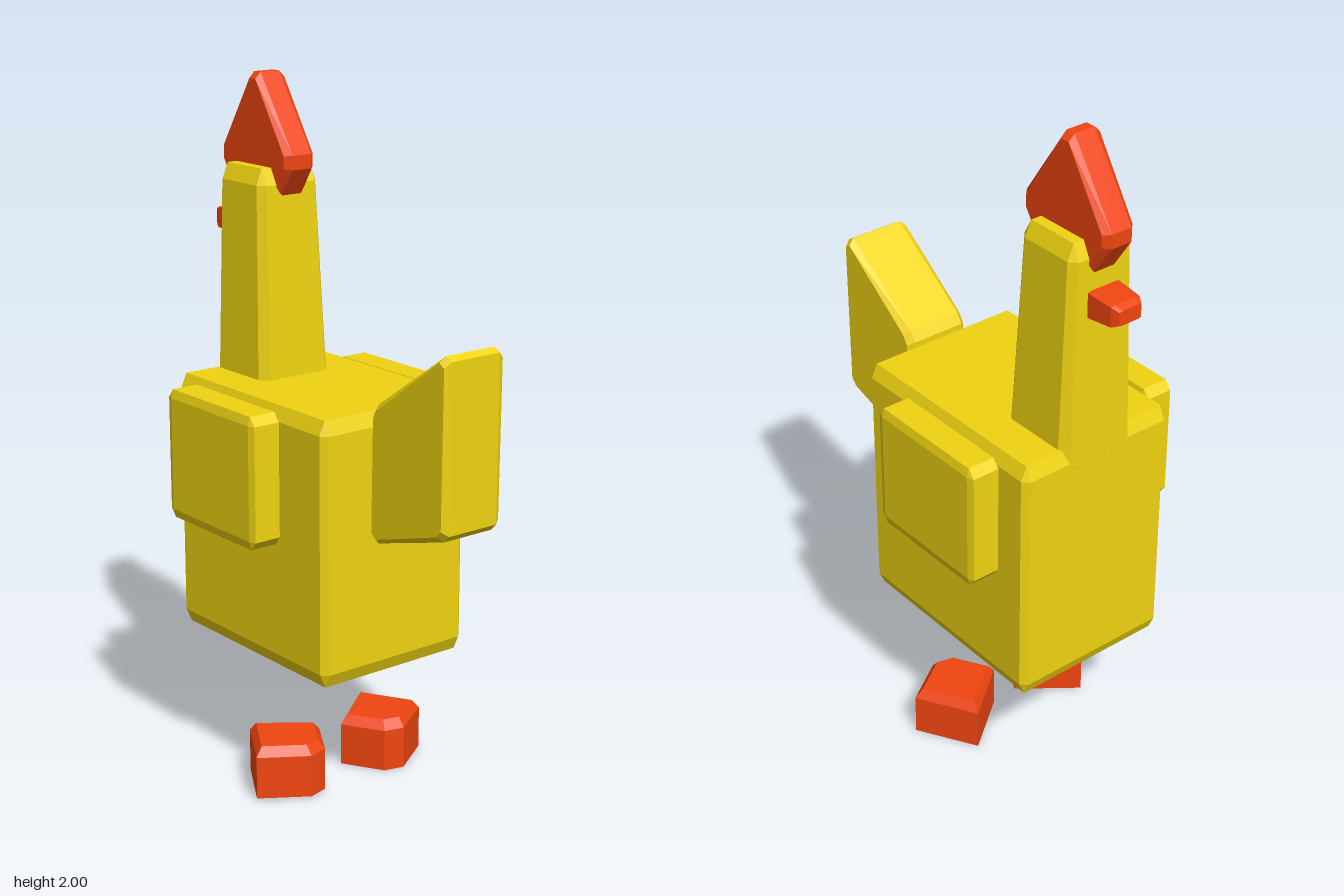
import * as THREE from 'three';
import { ConvexGeometry } from 'three/addons/geometries/ConvexGeometry.js';

const yellow = new THREE.MeshStandardMaterial({ color: 0xf0d411, flatShading: true });
const orange = new THREE.MeshStandardMaterial({ color: 0xf04510, flatShading: true });

function hull(name, points, material) {
  const mesh = new THREE.Mesh(new ConvexGeometry(points), material);
  mesh.name = name;
  return mesh;
}

// Corner points of a box [min, max] with chamfered edges; c is the chamfer per axis
function chamferPoints(min, max, c) {
  const points = [];
  for (let corner = 0; corner < 8; corner++) {
    for (let axis = 0; axis < 3; axis++) {
      const p = [0, 1, 2].map((i) => {
        const high = (corner >> i) & 1;
        const inset = i === axis ? 0 : c[i];
        return high ? max[i] - inset : min[i] + inset;
      });
      points.push(new THREE.Vector3(...p));
    }
  }
  return points;
}

// Side profile of [z, y] points given thickness along x, with bevelled rims
function slabPoints(profile, half, bevel) {
  const cz = profile.reduce((s, p) => s + p[0], 0) / profile.length;
  const cy = profile.reduce((s, p) => s + p[1], 0) / profile.length;
  const points = [];
  for (const side of [-1, 1]) {
    for (const [z, y] of profile) {
      points.push(new THREE.Vector3(side * (half - bevel), y, z));
      const k = 1 - bevel / Math.hypot(z - cz, y - cy);
      points.push(new THREE.Vector3(side * half, cy + (y - cy) * k, cz + (z - cz) * k));
    }
  }
  return points;
}

export function createModel() {
  const model = new THREE.Group();
  model.name = 'chicken';

  // Body
  model.add(hull('body',
    chamferPoints([-0.25, 0.4, -0.445], [0.25, 1.155, 0.235], [0.018, 0.04, 0.018]), yellow));

  // Neck, widening towards the body
  const neck = chamferPoints([-0.1, 1.05, -0.44], [0.1, 1.745, -0.235], [0.018, 0.045, 0.022]);
  for (const p of neck) {
    const t = (1.745 - p.y) / 0.59;
    p.x *= 1 + 0.2 * t;
    p.z = -0.44 - 0.005 * t + (p.z + 0.44) * (1 + 0.17 * t);
  }
  model.add(hull('neck', neck, yellow));

  // Tail, flaring up and back
  const tailProfile = [
    [0.24, 0.81], [0.26, 0.795], [0.525, 0.87], [0.545, 0.89],
    [0.545, 1.355], [0.525, 1.367], [0.26, 1.185], [0.24, 1.155],
  ];
  model.add(hull('tail', slabPoints(tailProfile, 0.1, 0.018), yellow));

  // Comb, a diamond sunk into the head
  const combProfile = [
    [-0.325, 2], [-0.355, 2], [-0.5, 1.785], [-0.5, 1.745],
    [-0.355, 1.53], [-0.325, 1.53], [-0.18, 1.745], [-0.18, 1.785],
  ];
  model.add(hull('comb', slabPoints(combProfile, 0.05, 0.018), orange));

  // Beak, narrowing towards the tip
  const beak = [];
  for (const [z, w, h] of [[-0.41, 0.054, 0.038], [-0.522, 0.047, 0.028], [-0.542, 0.036, 0.018]]) {
    for (const sx of [-1, 1]) for (const sy of [-1, 1]) {
      beak.push(new THREE.Vector3(sx * w, 1.57 + sy * h, z));
      beak.push(new THREE.Vector3(sx * w * 0.75, 1.57 + sy * (h + 0.003), z));
    }
  }
  model.add(hull('beak', beak, orange));

  // Turned feet: outline of [x, z] around the foot's centre
  const footOutline = [[-0.13, -0.047], [-0.06, 0.07], [0, 0.085], [0.13, 0], [0.03, -0.17]];
  for (const side of [-1, 1]) {
    const label = side > 0 ? 'left' : 'right';

    // Wing
    const xs = [side * 0.255, side * 0.35].sort((a, b) => a - b);
    model.add(hull(label + 'Wing',
      chamferPoints([xs[0], 0.77, -0.35], [xs[1], 1.145, 0.055], [0.007, 0.025, 0.02]), yellow));

    // Foot
    const cx = side > 0 ? 0.16 : -0.18;
    const base = side > 0 ? 0 : 0.008;
    const foot = [];
    for (const [x, z] of footOutline) {
      foot.push(new THREE.Vector3(cx + side * x, base, z));
      foot.push(new THREE.Vector3(cx + side * x, base + 0.125, z));
      foot.push(new THREE.Vector3(cx + side * x * 0.82, base + 0.152, -0.04 + (z + 0.04) * 0.82));
    }
    model.add(hull(label + 'Foot', foot, orange));
  }
  return model;
}
